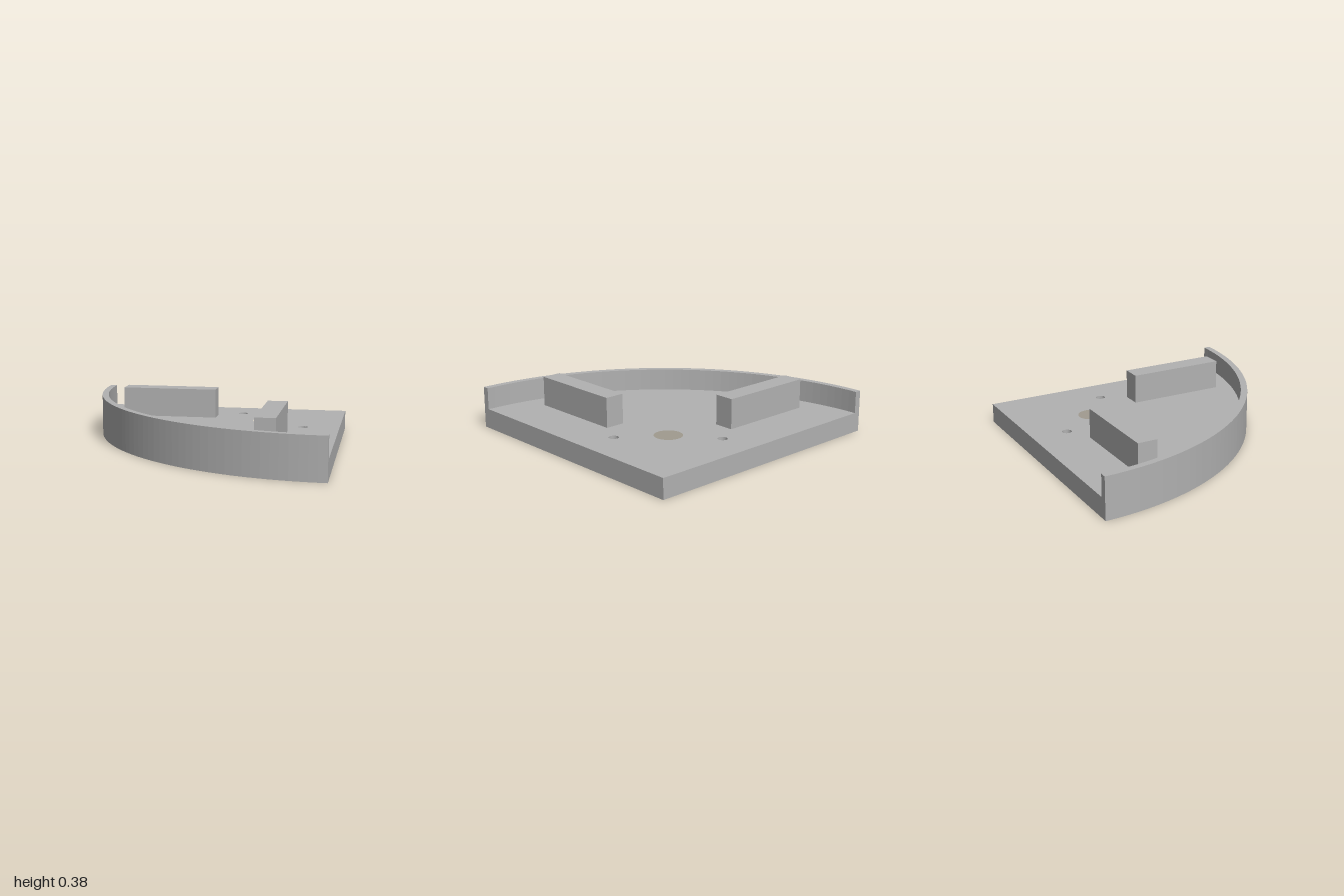
import * as THREE from 'three';

const SEG = 24;

// Upright prism from a plan drawn in (x, z), between two heights
function slab(name, plan, y0, y1, material) {
  const geometry = new THREE.ExtrudeGeometry(plan, { depth: y1 - y0, bevelEnabled: false, curveSegments: SEG });
  geometry.rotateX(Math.PI / 2).translate(0, y1, 0);
  const mesh = new THREE.Mesh(geometry, material);
  mesh.name = name;
  return mesh;
}

const hole = (x, z, r) => new THREE.Path().absarc(x, z, r, 0, Math.PI * 2, true);

// Annular plan that narrows a wide hole to a smaller bore
function ring(x, z, outer, inner) {
  const plan = new THREE.Shape().absarc(x, z, outer, 0, Math.PI * 2, false);
  plan.holes.push(hole(x, z, inner));
  return plan;
}

export function createModel() {
  const group = new THREE.Group();
  group.name = 'quarterRoundTray';
  const grey = new THREE.MeshStandardMaterial({ color: 0xb2b2b2 });
  grey.name = 'grey';

  const cx = 1, cz = -1, outerR = 2, innerR = 1.95;
  const floorY = 0.15, wallY = 0.315, blockY = 0.375;
  const centre = { x: 0.413, z: -0.416, wide: 0.104, bore: 0.043 };
  const screws = [[0.188, -0.728], [0.725, -0.19]];
  const screwWide = 0.064, screwBore = 0.036;

  // Quarter-disc floor with its holes
  const floor = new THREE.Shape();
  floor.moveTo(cx, cz);
  floor.lineTo(cx - innerR, cz);
  floor.absarc(cx, cz, innerR, Math.PI, Math.PI / 2, true);
  floor.closePath();
  floor.holes.push(hole(centre.x, centre.z, centre.wide));
  screws.forEach(([x, z]) => floor.holes.push(hole(x, z, screwWide)));
  group.add(slab('floor', floor, 0, floorY, grey));

  // Centre hole is recessed from above, screw holes from below
  group.add(slab('centreHoleStep', ring(centre.x, centre.z, centre.wide, centre.bore), 0, 0.075, grey));
  screws.forEach(([x, z], i) =>
    group.add(slab(`screwHoleStep${i + 1}`, ring(x, z, screwWide, screwBore), 0.03, floorY, grey)));

  // Curved rim wall
  const rim = new THREE.Shape();
  rim.absarc(cx, cz, outerR, Math.PI, Math.PI / 2, true);
  rim.absarc(cx, cz, innerR, Math.PI / 2, Math.PI, false);
  rim.closePath();
  group.add(slab('curvedWall', rim, 0, wallY, grey));

  // Two support blocks: x, z, width, depth
  [['backBlock', -0.375, -0.554, 0.746, 0.15], ['frontBlock', 0.552, 0.373, 0.15, 0.746]].forEach(([name, x, z, w, d]) => {
    const block = new THREE.Mesh(new THREE.BoxGeometry(w, blockY - floorY, d), grey);
    block.position.set(x, (blockY + floorY) / 2, z);
    block.name = name;
    group.add(block);
  });

  return group;
}
